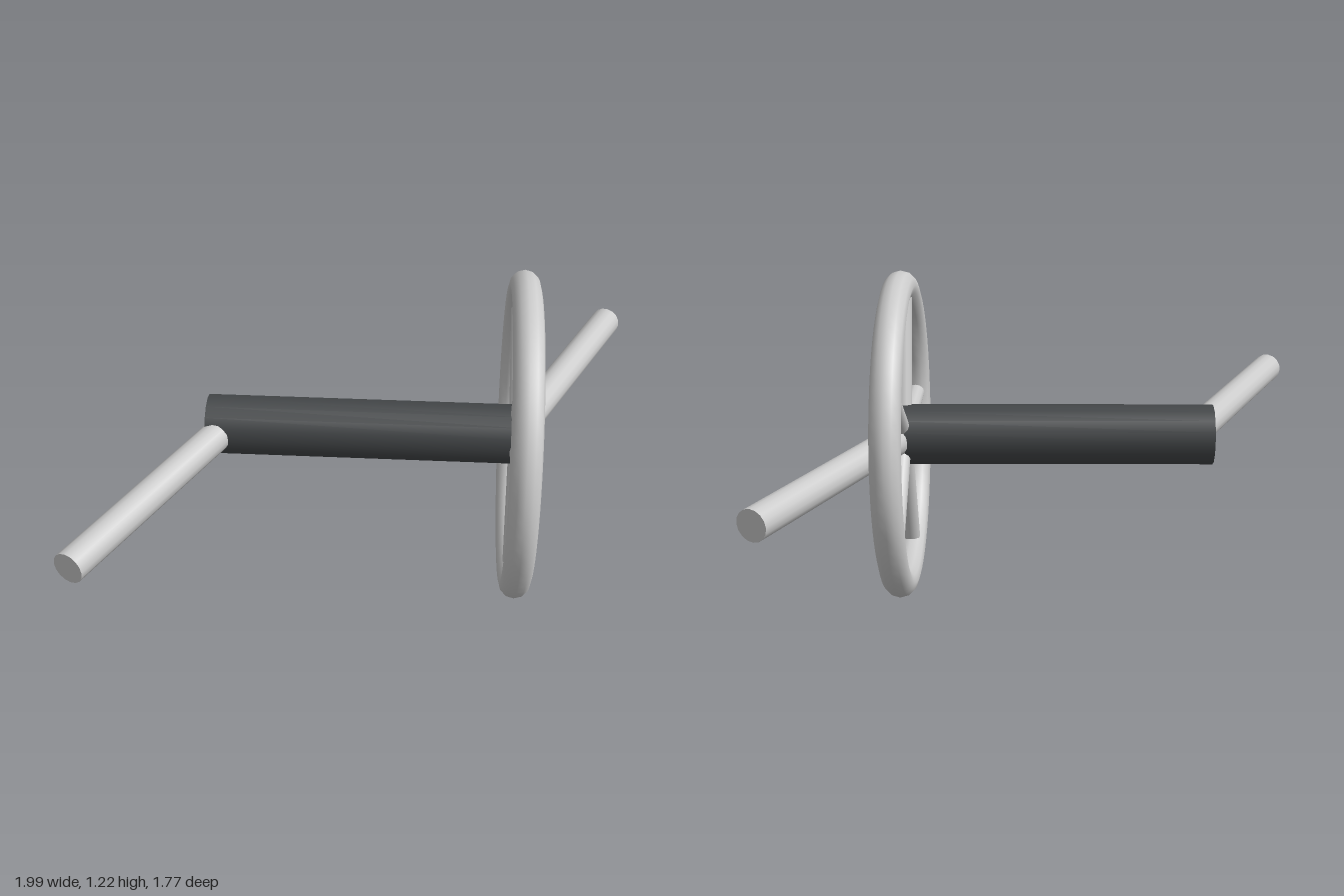
import * as THREE from 'three';

const AXLE_Y = 0.612;
const WHEEL_X = 0.553;

export function createModel() {
  const model = new THREE.Group();
  const grey = new THREE.MeshStandardMaterial({ color: 0xcccccc });
  const dark = new THREE.MeshStandardMaterial({ color: 0x444749 });

  // Round bar running between two points
  function bar(name, from, to, radius, material, sides) {
    const span = new THREE.Vector3().subVectors(to, from);
    const mesh = new THREE.Mesh(new THREE.CylinderGeometry(radius, radius, span.length(), sides), material);
    mesh.name = name;
    mesh.position.addVectors(from, to).multiplyScalar(0.5);
    mesh.quaternion.setFromUnitVectors(new THREE.Vector3(0, 1, 0), span.normalize());
    return mesh;
  }
  const point = (x, y, z) => new THREE.Vector3(x, y, z);

  // Dark central axle
  model.add(bar('axle', point(-0.613, AXLE_Y, 0), point(0.61, AXLE_Y, 0), 0.113, dark, 16));

  // Slanted arms at the two ends, opposite each other
  for (const s of [1, -1]) {
    model.add(bar(s > 0 ? 'leftArm' : 'rightArm',
      point(s * 0.536, AXLE_Y, 0), point(s * 0.945, AXLE_Y, -s * 0.862), 0.058, grey, 16));
  }

  // Wheel: ring and five spokes
  const wheel = new THREE.Group();
  wheel.name = 'wheel';
  wheel.position.set(WHEEL_X, AXLE_Y, 0);
  const rim = new THREE.Mesh(new THREE.TorusGeometry(0.557, 0.055, 12, 64), grey);
  rim.name = 'rim';
  rim.rotation.y = Math.PI / 2;
  wheel.add(rim);
  for (let i = 0; i < 5; i++) {
    const a = (i * 2 * Math.PI) / 5;
    wheel.add(bar('spoke', point(0, 0, 0),
      point(0, 0.515 * Math.sin(a), 0.515 * Math.cos(a)), 0.035, grey, 12));
  }
  model.add(wheel);

  return model;
}
